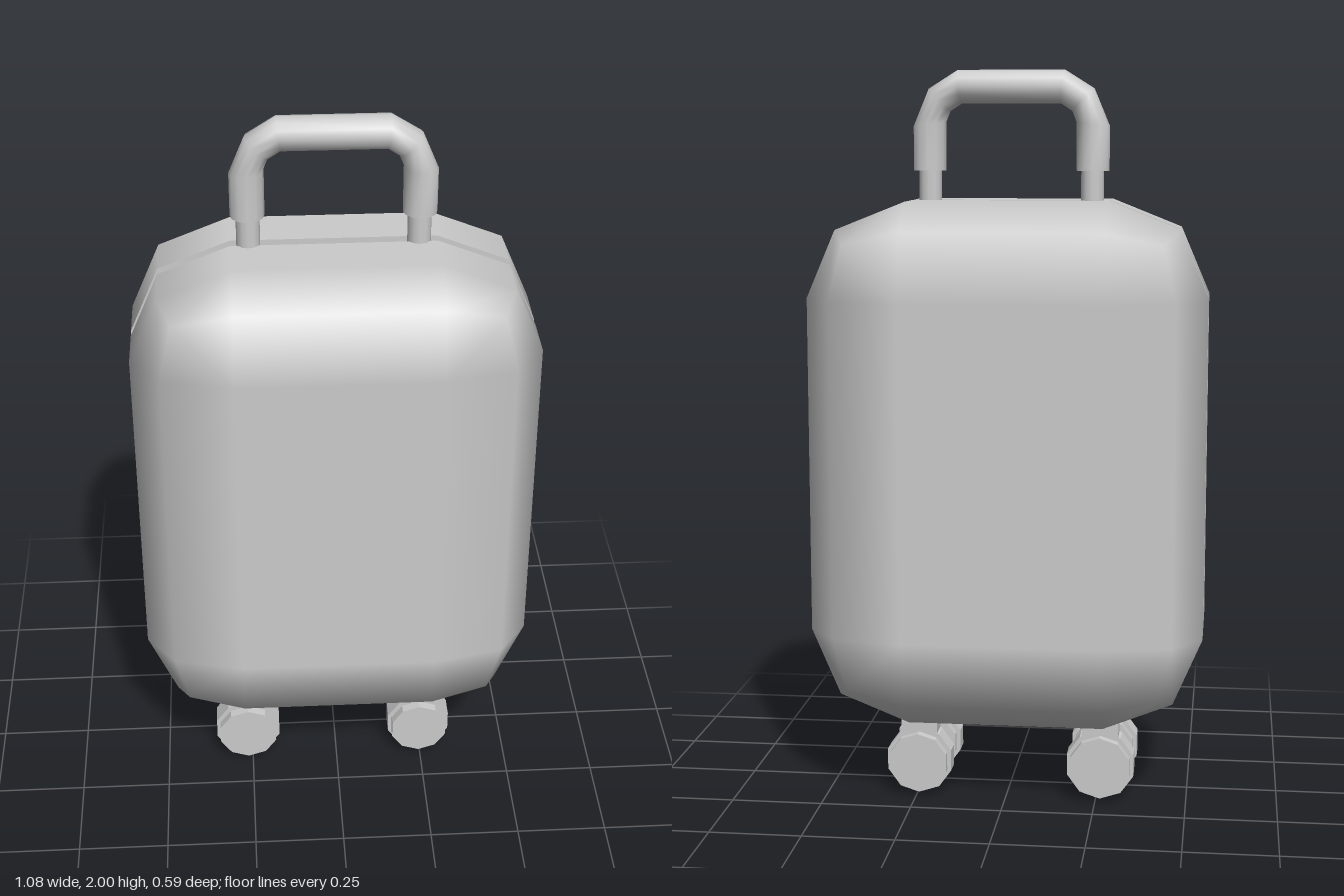
import * as THREE from 'three';

const grey = new THREE.MeshStandardMaterial({ color: 0xcccccc });
const flat = new THREE.MeshStandardMaterial({ color: 0xcccccc, flatShading: true });
const MID_Y = 0.93;
const FLAT = [0.27, 0.46, 0.15];   // half size of the flat middle of the case
const ROUND = [0.27, 0.26, 0.147]; // corner radii in x, y, z
const D = Math.SQRT1_2, T = 1 / Math.sqrt(3);

function add(parent, name, geometry, x = 0, y = 0, z = 0, material = grey) {
  const mesh = new THREE.Mesh(geometry, material);
  mesh.name = name;
  mesh.position.set(x, y, z);
  parent.add(mesh);
  return mesh;
}

// Closed or open skin over equal rings of points
function skin(rings, closed, normals) {
  const n = rings[0].length, index = [];
  for (let r = 0; r + 1 < rings.length; r++) {
    for (let i = 0; i < n; i++) {
      const j = (i + 1) % n, a = r * n + i, b = r * n + j;
      index.push(a, b, b + n, a, b + n, a + n);
    }
  }
  if (closed) { // fan over the last ring
    const s = (rings.length - 1) * n;
    for (let i = 1; i + 1 < n; i++) index.push(s, s + i, s + i + 1);
  }
  const g = new THREE.BufferGeometry();
  g.setAttribute('position', new THREE.Float32BufferAttribute(rings.flat(2), 3));
  g.setIndex(index);
  if (normals) g.setAttribute('normal', new THREE.Float32BufferAttribute(normals.flat(2), 3));
  else g.computeVertexNormals();
  return g;
}

// The four corners, counter-clockwise; each turns through three directions
function ringOf(dirs, place) {
  const out = [];
  [[1, 1], [-1, 1], [-1, -1], [1, -1]].forEach(([sx, sy], k) => {
    const turn = k % 2 ? [...dirs].reverse() : dirs;
    turn.forEach(([x, y, z]) => out.push(place(sx, sy, x, y, z)));
  });
  return out;
}

const side = [[1, 0, 0], [D, D, 0], [0, 1, 0]];
const slope = [[D, 0, D], [T, T, T], [0, D, D]];
const front = [[0, 0, 1], [0, 0, 1], [0, 0, 1]];
const point = (sx, sy, x, y, z) => [
  sx * (FLAT[0] + ROUND[0] * x), sy * (FLAT[1] + ROUND[1] * y), FLAT[2] + ROUND[2] * z];

function outline(scale) {
  return new THREE.Shape(ringOf(side, point).map(p => new THREE.Vector2(p[0] * scale, p[1] * scale)));
}

function shellGeometry() {
  const edge = ringOf(side, point).map(p => [p[0], p[1], 0.015]);
  const rings = [edge, ...[side, slope, front].map(d => ringOf(d, point))];
  const normals = [side, side, slope, front].map(d =>
    ringOf(d, (sx, sy, x, y, z) => [sx * x, sy * y, z]));
  return skin(rings, true, normals);
}

// Handle grip: rings stretched between the outer and inner outline of the bow
function gripGeometry() {
  const half = [
    [0.268, 1.73, 0.178, 1.73], [0.268, 1.85, 0.178, 1.86],
    [0.226, 1.95, 0.166, 1.89], [0.146, 2.0, 0.135, 1.91]];
  const stations = [...half, ...[...half].reverse().map(([a, b, c, d]) => [-a, b, -c, d])];
  const rings = stations.map(([ox, oy, ix, iy]) => {
    const ring = [];
    for (let i = 0; i < 12; i++) {
      const a = -i * Math.PI / 6, t = (1 + Math.cos(a)) / 2;
      ring.push([ix + (ox - ix) * t, iy + (oy - iy) * t, 0.046 * Math.sin(a)]);
    }
    return ring;
  });
  return skin(rings, false);
}

function disc(radius, depth) {
  return new THREE.CylinderGeometry(radius, radius, depth, 10).rotateX(Math.PI / 2);
}

function makeCaster(x, z, tyre, cheek) {
  const caster = new THREE.Group();
  caster.name = 'caster';
  const y = tyre;
  add(caster, 'wheelBand', disc(tyre, 0.06), 0, y, 0, flat);
  add(caster, 'axle', disc(cheek * 0.85, 0.1), 0, y, 0, flat);
  for (const s of [-1, 1]) add(caster, 'wheel', disc(cheek, 0.026), 0, y, s * 0.047, flat);
  add(caster, 'fork', new THREE.BoxGeometry(0.1, 0.11, 0.062), 0, 0.17, 0, flat);
  caster.position.set(x, 0, z);
  return caster;
}

export function createModel() {
  const model = new THREE.Group();
  model.name = 'suitcase';

  // Two shell halves with their rims, parted by a seam
  for (const [name, turn] of [['frontShell', 0], ['backShell', Math.PI]]) {
    const half = new THREE.Group();
    half.name = name;
    add(half, 'shell', shellGeometry());
    add(half, 'rim', new THREE.ShapeGeometry(outline(1)).rotateY(Math.PI), 0, 0, 0.015);
    half.position.y = MID_Y;
    half.rotation.y = turn;
    model.add(half);
  }
  const core = new THREE.ExtrudeGeometry(outline(0.97), { depth: 0.04, bevelEnabled: false });
  add(model, 'seamCore', core, 0, MID_Y, -0.02, flat);

  // Handle: bow-shaped grip on two posts
  const handle = new THREE.Group();
  handle.name = 'handle';
  add(handle, 'grip', gripGeometry());
  for (const s of [-1, 1]) {
    add(handle, 'post', new THREE.CylinderGeometry(0.031, 0.031, 0.14, 12), s * 0.222, 1.68, 0);
    add(handle, 'gripEnd', new THREE.CircleGeometry(0.0455, 12).rotateX(Math.PI / 2), s * 0.223, 1.73, 0);
  }
  model.add(handle);

  // Four casters
  for (const z of [0.092, -0.092]) {
    model.add(makeCaster(-0.262, z, 0.097, 0.086));
    model.add(makeCaster(0.245, z, 0.094, 0.083));
  }
  return model;
}
